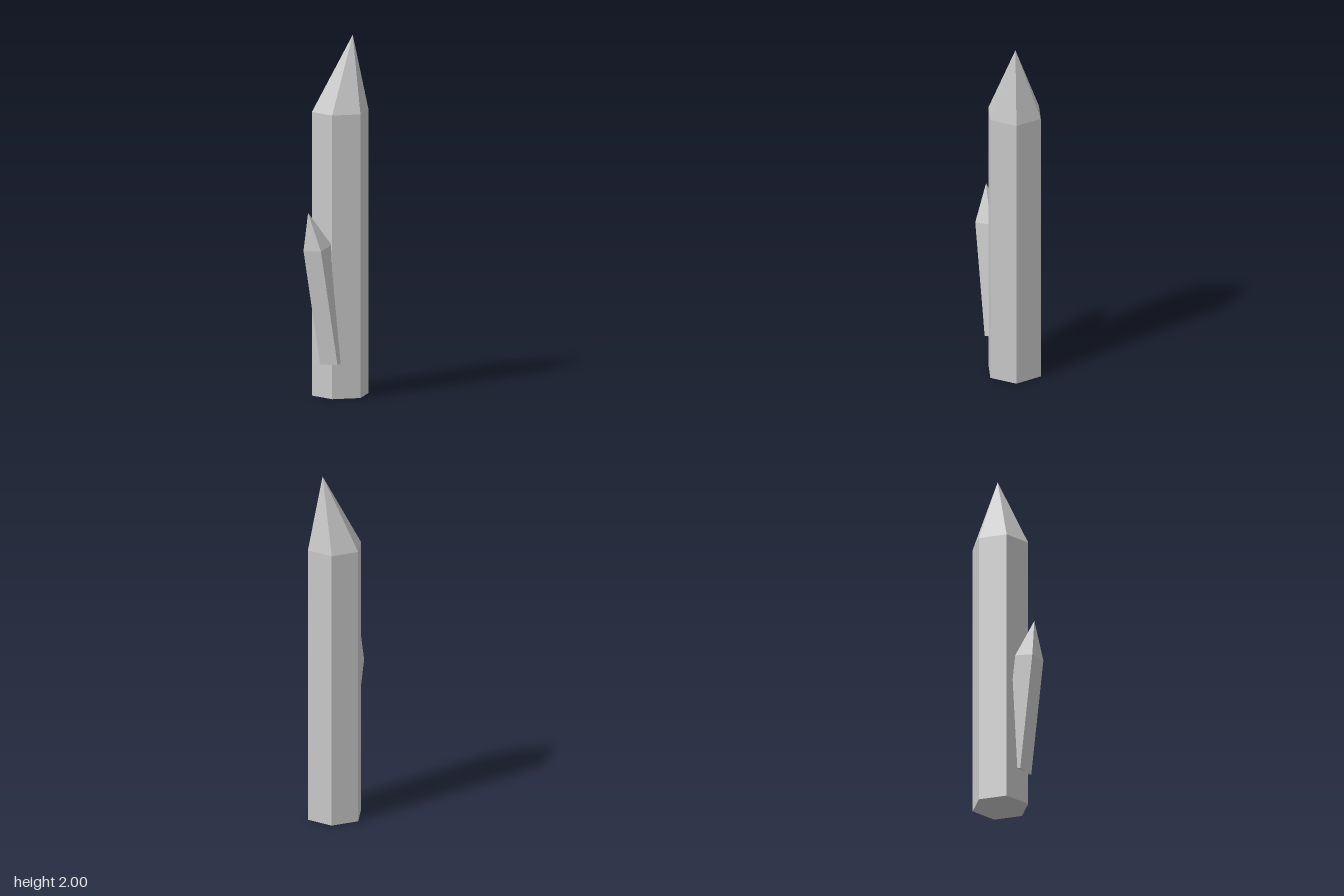
import * as THREE from 'three';

// Faceted crystal: prism from a base ring to a shoulder ring, closed by a cap and an off-centre point.
function crystalGeometry(sides, radius, base, shoulder, tip, tilt = [0, 0]) {
  const ring = (c) => Array.from({ length: sides }, (_, i) => {
    const a = (i / sides) * Math.PI * 2;
    const x = Math.cos(a) * radius, z = -Math.sin(a) * radius;
    return [c[0] + x, c[1] + x * tilt[0] + z * tilt[1], c[2] + z];
  });
  const low = ring(base), high = ring(shoulder), points = [];
  for (let i = 0; i < sides; i++) {
    const j = (i + 1) % sides;
    points.push(low[i], low[j], high[j], low[i], high[j], high[i]); // side
    points.push(high[i], high[j], tip); // point facet
    points.push(low[j], low[i], base); // bottom cap
  }
  const geometry = new THREE.BufferGeometry();
  geometry.setAttribute('position', new THREE.Float32BufferAttribute(points.flat(), 3));
  geometry.computeVertexNormals();
  return geometry;
}

export function createModel() {
  const group = new THREE.Group();
  group.name = 'crystalCluster';
  const stone = new THREE.MeshStandardMaterial({ name: 'paleGreyCrystal', color: 0xc8c8c8, flatShading: true });

  // Tall upright hexagonal crystal
  const main = new THREE.Mesh(
    crystalGeometry(6, 0.16, [0.039, 0, -0.035], [0.039, 1.58, -0.035], [0.11, 2, -0.035]), stone);
  main.name = 'mainCrystal';

  // Small four-sided crystal leaning out of its side
  const side = new THREE.Mesh(
    crystalGeometry(4, 0.079, [-0.016, 0.2, 0.047], [-0.121, 0.845, 0.092], [-0.178, 1.045, 0.108], [0.17, -0.1]), stone);
  side.name = 'sideCrystal';

  group.add(main, side);
  return group;
}
